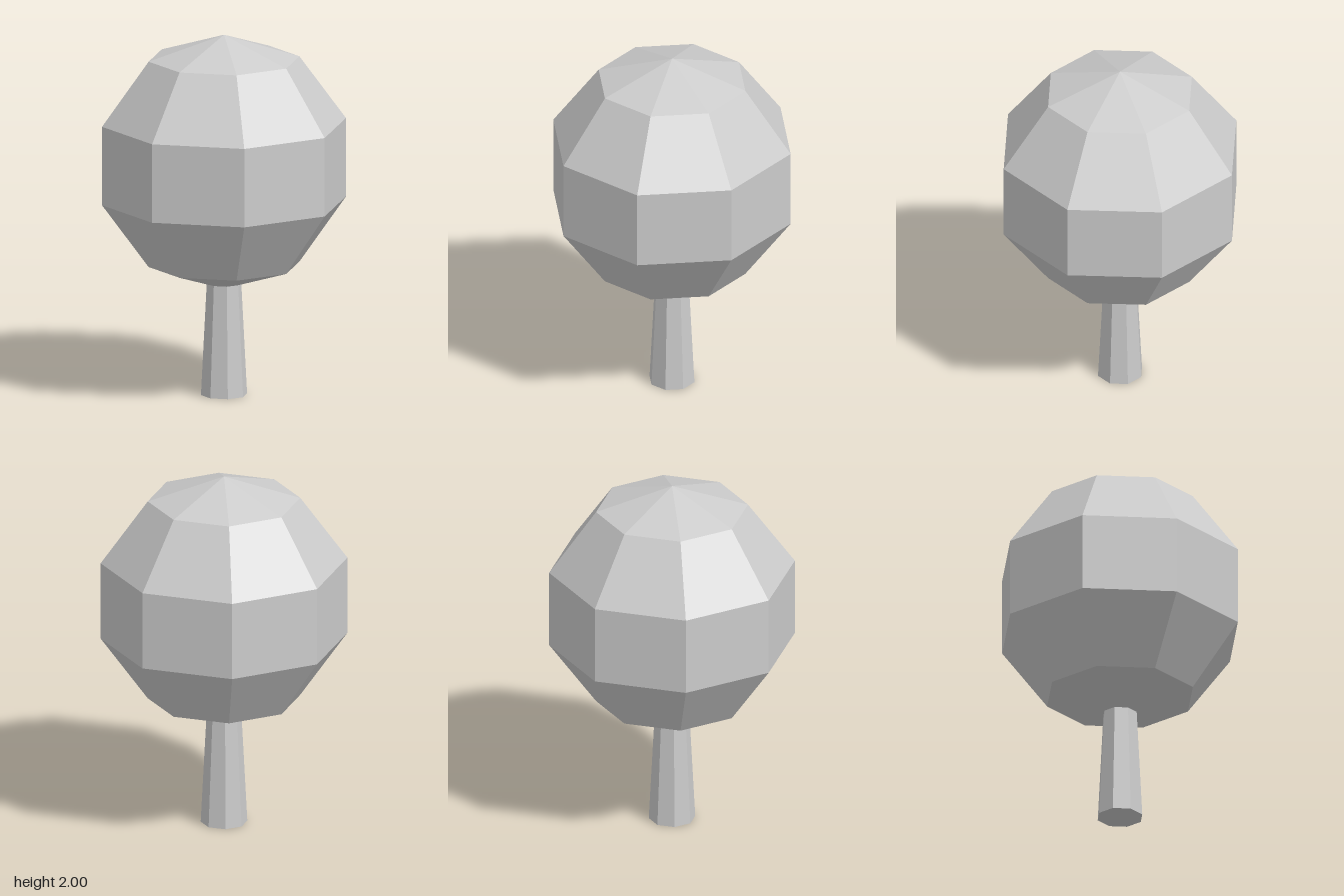
import * as THREE from 'three';

export function createModel() {
  const group = new THREE.Group();
  const material = new THREE.MeshStandardMaterial({ color: 0xcccccc, flatShading: true });

  const add = (name, geometry, y) => {
    const mesh = new THREE.Mesh(geometry, material);
    mesh.name = name;
    mesh.position.y = y;
    group.add(mesh);
  };

  // Tapered eight-sided trunk, its top tucked inside the crown
  const trunkHeight = 0.66;
  add('trunk', new THREE.CylinderGeometry(0.093, 0.127, trunkHeight, 8), trunkHeight / 2);

  // Faceted ball-shaped crown
  const crownRadius = 0.706;
  add('crown', new THREE.SphereGeometry(crownRadius, 8, 5), 2 - crownRadius);

  return group;
}
